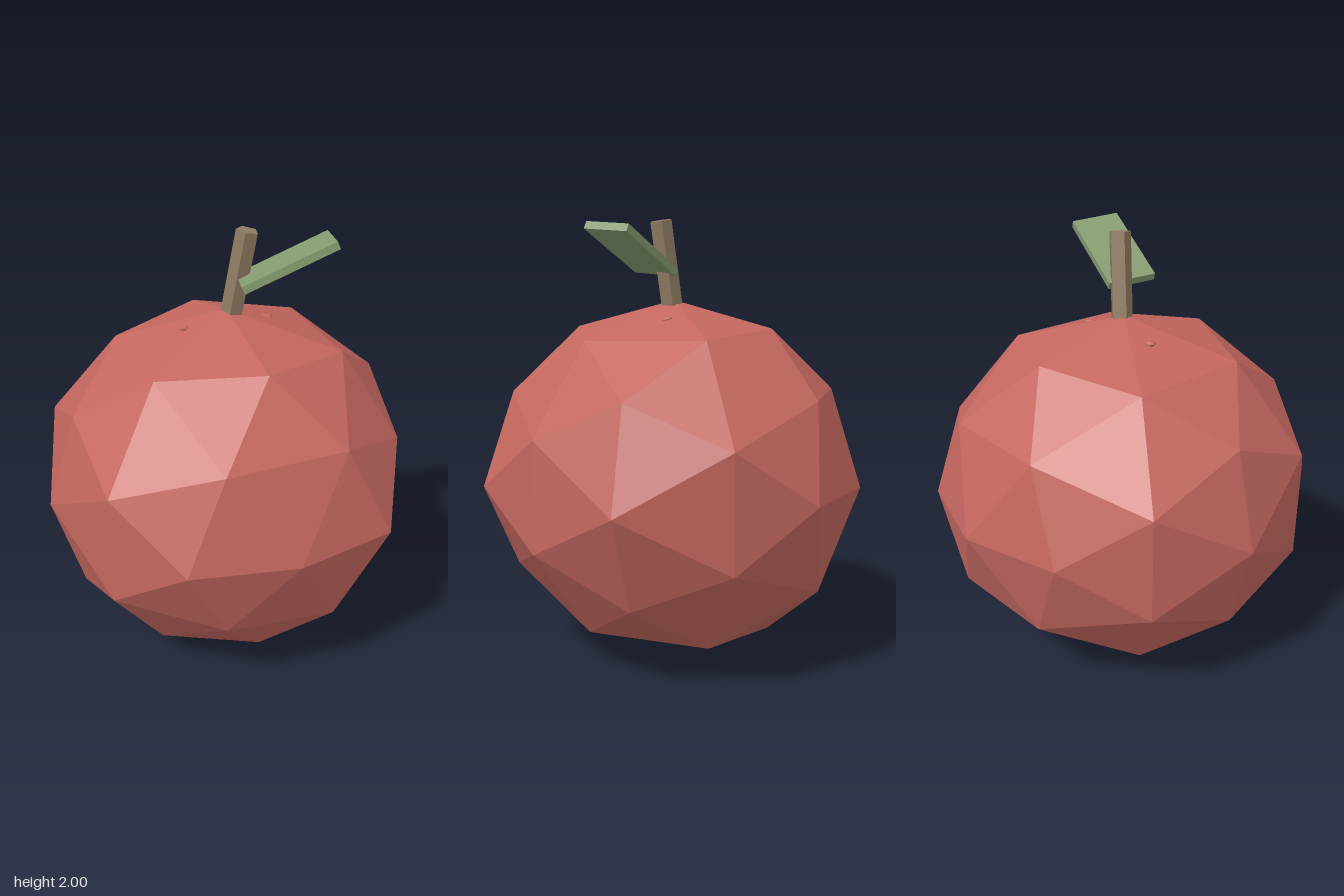
import * as THREE from 'three';
import { ConvexGeometry } from 'three/addons/geometries/ConvexGeometry.js';

const mat = (name, color) => {
  const m = new THREE.MeshStandardMaterial({ color });
  m.name = name;
  return m;
};

// Faceted fruit: rings of points around the z axis, five-fold, slightly uneven
function fruitGeometry() {
  const centre = new THREE.Vector3(0.01, 0.82, 0);
  const radii = new THREE.Vector3(0.83, 0.82, 0.88);
  // height along z, radius, start angle, point count
  const rings = [
    [1, 0, 0, 1],
    [0.851, 0.526, 0, 5],
    [0.526, 0.851, 36, 5],
    [0.447, 0.894, 0, 5],
    [0, 1, 18, 10],
    [-0.447, 0.894, 36, 5],
    [-0.526, 0.851, 0, 5],
    [-0.851, 0.526, 36, 5],
    [-1, 0, 0, 1],
  ];
  // hand-shaped unevenness: 'ring,index' -> offset
  const nudges = {
    '1,0': [0.01, 0, -0.03], '1,4': [0, 0.03, -0.04],
    '2,0': [0.02, 0, -0.02], '2,2': [-0.015, 0, -0.02],
    '3,0': [0.05, 0, 0], '3,1': [0.02, 0, 0],
    '4,1': [0.03, -0.01, 0], '4,3': [-0.02, -0.01, 0],
    '4,4': [-0.04, 0.01, 0], '4,5': [-0.03, 0.02, 0],
    '4,6': [-0.03, 0.01, 0], '4,8': [0.02, 0.02, 0], '4,9': [0.01, 0.02, 0],
    '5,0': [0.03, 0, 0], '6,0': [0.055, 0, -0.02], '6,1': [0.02, 0, 0],
    '7,0': [0.02, 0, -0.015], '7,3': [0, 0, -0.02],
  };
  const points = [];
  rings.forEach(([z, r, start, n], ring) => {
    for (let i = 0; i < n; i++) {
      const a = THREE.MathUtils.degToRad(start + (i * 360) / n);
      const p = new THREE.Vector3(r * Math.cos(a), r * Math.sin(a), z).multiply(radii).add(centre);
      const nudge = nudges[`${ring},${i}`];
      if (nudge) p.add(new THREE.Vector3(...nudge));
      points.push(p);
    }
  });
  return new ConvexGeometry(points);
}

export function createModel() {
  const red = mat('fruitRed', 0xc4675f);
  const brown = mat('stemBrown', 0x907c62);
  const green = mat('leafGreen', 0x859b70);
  for (const m of [red, brown, green]) m.flatShading = true;

  const group = new THREE.Group();
  group.name = 'fruit';
  const add = (name, geometry, material) => {
    const mesh = new THREE.Mesh(geometry, material);
    mesh.name = name;
    group.add(mesh);
    return mesh;
  };

  add('fruitBody', fruitGeometry(), red);

  // Tiny bumps barely breaking the skin near the stem
  for (const [x, y, z, r] of [[-0.16, 1.57, 0.09, 0.025], [0.17, 1.558, -0.13, 0.033]]) {
    const bump = add('skinBump', new THREE.IcosahedronGeometry(r, 0), red);
    bump.scale.y = 0.6;
    bump.position.set(x, y, z);
  }

  // Five-sided stem leaning to the side
  const stem = add('stem', new THREE.CylinderGeometry(0.05, 0.05, 0.41, 5), brown);
  stem.position.set(0.064, 1.79, -0.008);
  stem.rotation.z = -0.175;

  // Slab leaf rising out from the stem
  const along = new THREE.Vector3(0.38, 0.18, -0.12).normalize();
  const up = new THREE.Vector3(0.065, 0.02, 0.21).cross(along).normalize();
  const across = new THREE.Vector3().crossVectors(along, up);
  const leaf = add('leaf', new THREE.BoxGeometry(0.437, 0.035, 0.22), green);
  leaf.quaternion.setFromRotationMatrix(new THREE.Matrix4().makeBasis(along, up, across));
  leaf.position.set(0.27, 1.862, -0.015);

  return group;
}
